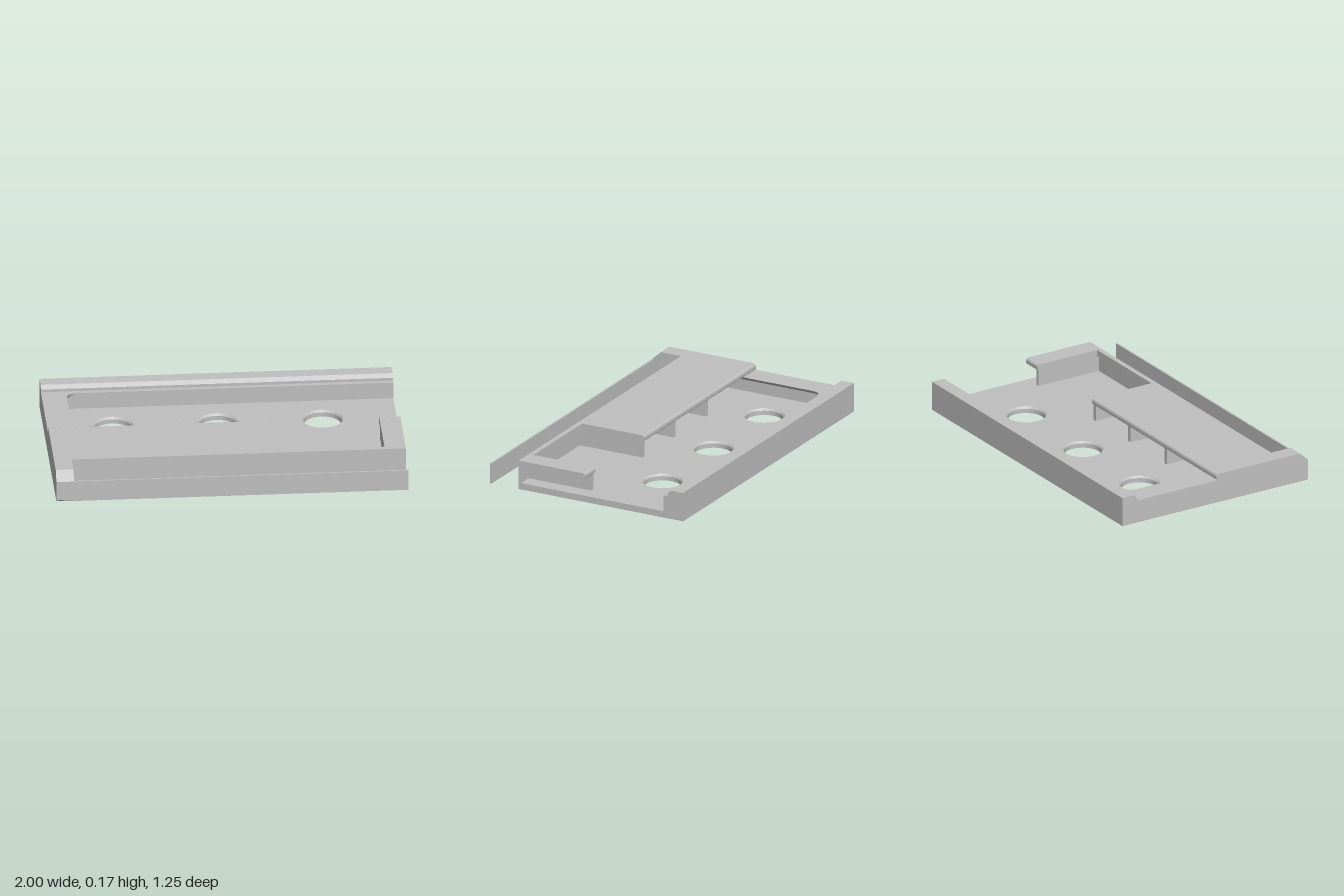
import * as THREE from 'three';

export function createModel() {
  const model = new THREE.Group();
  model.name = 'slottedTray';
  const grey = new THREE.MeshStandardMaterial({ color: 0xbfbfbf });
  grey.name = 'plain grey';

  const add = (name, geometry) => {
    const mesh = new THREE.Mesh(geometry, grey);
    mesh.name = name;
    model.add(mesh);
    return mesh;
  };

  // Box given by its limits on each axis
  const box = (name, x0, x1, y0, y1, z0, z1) => {
    const g = new THREE.BoxGeometry(x1 - x0, y1 - y0, z1 - z0);
    g.translate((x0 + x1) / 2, (y0 + y1) / 2, (z0 + z1) / 2);
    return add(name, g);
  };

  // Profile of [z, y] points swept along x
  const sweep = (name, x0, x1, points) => {
    const shape = new THREE.Shape(points.map(([z, y]) => new THREE.Vector2(z, y)));
    const g = new THREE.ExtrudeGeometry(shape, { depth: x1 - x0, bevelEnabled: false });
    g.rotateY(-Math.PI / 2);
    g.translate(x1, 0, 0);
    return add(name, g);
  };

  // Plan shape (x, -z) raised between two heights
  const raise = (shape, y0, y1) => {
    const g = new THREE.ExtrudeGeometry(shape, { depth: y1 - y0, bevelEnabled: false, curveSegments: 24 });
    g.rotateX(-Math.PI / 2);
    g.translate(0, y0, 0);
    return g;
  };

  const FLOOR = 0.038, SHELF = 0.135, TOP = 0.172;

  // Floor with three chamfered round holes
  const floor = new THREE.Shape();
  floor.moveTo(-1, -0.44);
  floor.lineTo(1, -0.44);
  floor.lineTo(1, 0.53);
  floor.lineTo(-1, 0.53);
  floor.closePath();
  for (const x of [-0.61, -0.015, 0.58]) {
    const hole = new THREE.Path();
    hole.absarc(x, 0.26, 0.117, 0, Math.PI * 2, true);
    floor.holes.push(hole);
    const rim = [[0.117, FLOOR], [0.107, 0.026], [0.107, 0], [0.117, 0]];
    const ring = new THREE.LatheGeometry(rim.map(p => new THREE.Vector2(...p)), 48).toNonIndexed();
    ring.computeVertexNormals();
    add('holeRim', ring).position.set(x, 0, -0.26);
  }
  add('floor', raise(floor, 0, FLOOR));

  // Raised border along the back and the closed end, with a rounded inner corner
  const border = inner => {
    const s = new THREE.Shape();
    s.moveTo(-1, -0.44);
    s.lineTo(inner, -0.44);
    s.lineTo(inner, 0.43);
    s.quadraticCurveTo(inner, 0.497, inner + 0.07, 0.497);
    s.lineTo(1, 0.497);
    s.lineTo(1, 0.53);
    s.lineTo(-1, 0.53);
    s.closePath();
    return s;
  };
  add('lowerBorder', raise(border(-0.9), FLOOR, 0.105));

  // The upper border leans inward over the closed end
  const upper = raise(border(-0.86), 0.105, SHELF);
  const pos = upper.attributes.position;
  for (let i = 0; i < pos.count; i++) {
    const x = pos.getX(i);
    if (pos.getY(i) < 0.12 && x > -0.99 && x < -0.7) pos.setX(i, x - 0.04);
  }
  upper.computeVertexNormals();
  add('upperBorder', upper);

  // Back rail with a chamfered inner edge
  sweep('backRail', -1, 1, [
    [-0.625, 0], [-0.525, 0], [-0.525, 0.152], [-0.545, TOP], [-0.625, TOP],
  ]);

  // Cover with a rounded nose, a short arm, and the strip joining them
  const cover = [
    [0.44, SHELF], [0.44, TOP], [0.022, TOP], [0.013, 0.168],
    [0.009, 0.16], [0.009, 0.143], [0.016, SHELF],
  ].reverse();
  sweep('cover', -1, 0.31, cover);
  sweep('arm', 0.88, 1, cover);
  box('coverStrip', 0.31, 0.88, SHELF, TOP, 0.41, 0.44);

  // Wall below the cover's front edge
  box('frontWall', -0.9, 1, FLOOR, SHELF, 0.425, 0.44);

  // Ribs holding up the cover and the arm
  for (const x of [-0.46, -0.08, 0.285, 0.885]) {
    box('rib', x, x + 0.025, FLOOR, SHELF, 0.02, 0.425);
  }

  // End block and the thin lip reaching out from it
  sweep('endBlock', -1, -0.9, [
    [0.44, 0], [0.617, 0], [0.625, 0.008], [0.625, 0.122], [0.57, TOP], [0.44, TOP],
  ]);
  box('frontLip', -0.9, 1, 0, 0.122, 0.615, 0.625);

  return model;
}
